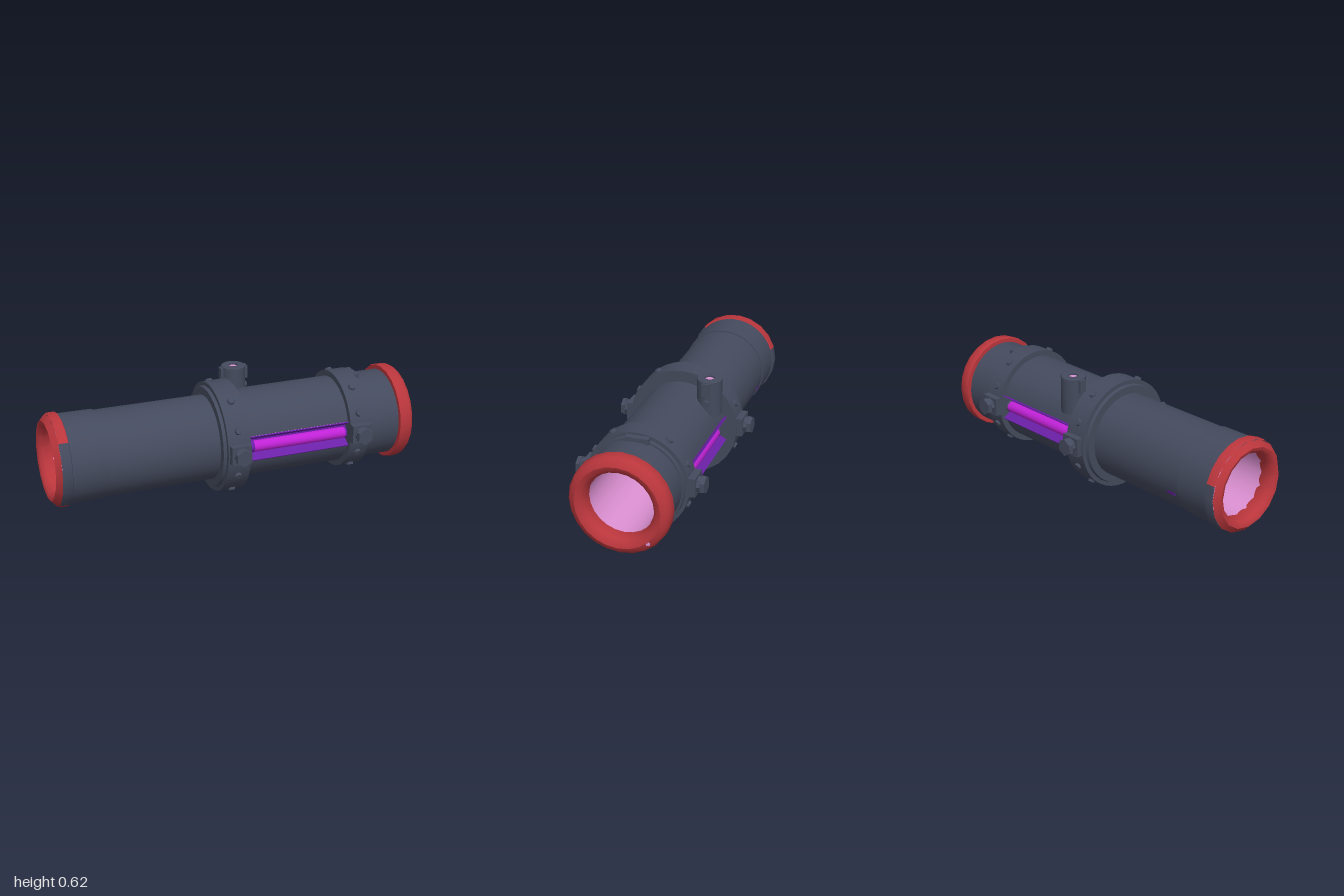
import * as THREE from 'three';
import { toCreasedNormals } from 'three/addons/utils/BufferGeometryUtils.js';

export function createModel() {
  const mat = (name, color) => {
    const m = new THREE.MeshStandardMaterial({ color });
    m.name = name;
    return m;
  };
  const dark = mat('slate metal', 0x444a5d);
  const red = mat('red rubber', 0xb9363c);
  const pink = mat('pink lining', 0xdc90d2);
  const purple = mat('purple channel', 0x6a20a6);
  const magenta = mat('magenta glow', 0xc022d6);

  const model = new THREE.Group();
  model.name = 'tube';
  const axis = new THREE.Group(); // everything is measured from the tube's axis
  axis.name = 'tubeAssembly';
  axis.position.y = 0.297;
  model.add(axis);
  const RAD = Math.PI / 180;

  const add = (name, geo, material, parent = axis) => {
    const m = new THREE.Mesh(geo, material);
    m.name = name;
    parent.add(m);
    return m;
  };
  // Lathe around x from [x, radius] pairs; angle 0 is the front, 90 the underside
  const turn = (name, pts, material, segs = 40, from = 0, sweep = 360) => {
    const g = new THREE.LatheGeometry(pts.map(([x, r]) => new THREE.Vector2(r, x)),
      segs, from * RAD, sweep * RAD);
    g.rotateZ(-Math.PI / 2);
    return add(name, toCreasedNormals(g, 0.6), material);
  };
  // Pivot whose local +z points radially outward at an angle above the front
  const radial = (name, x, deg) => {
    const p = new THREE.Group();
    p.name = name;
    p.position.x = x;
    p.rotation.x = -deg * RAD;
    axis.add(p);
    return p;
  };

  // Body sections
  turn('rearBarrel', [[-0.75, 0.228], [-0.1, 0.228]], dark);
  turn('rearCollar', [[-0.92, 0.2], [-0.92, 0.236], [-0.73, 0.234], [-0.73, 0.22]], dark);
  turn('upperShell', [[0, 0.235], [0.63, 0.235]], dark, 24, 196, 148);
  turn('lowerShell', [[0, 0.235], [0.63, 0.235]], dark, 24, 16, 148);
  turn('frontBarrel', [[0.7, 0.235], [0.93, 0.235]], dark);
  turn('boreLining', [[0.965, 0.177], [-0.965, 0.177]], pink, 24);

  // Clamp flanges
  turn('largeFlange', [[-0.125, 0.2], [-0.125, 0.27], [-0.108, 0.275], [-0.108, 0.297],
    [0.018, 0.297], [0.018, 0.2]], dark, 40);
  turn('smallFlange', [[0.605, 0.2], [0.605, 0.267], [0.715, 0.267], [0.715, 0.248],
    [0.735, 0.246], [0.735, 0.2]], dark, 40);

  // Soft end rings
  turn('frontRing', [[0.91, 0.23], [0.91, 0.258], [0.92, 0.263], [0.968, 0.26], [0.988, 0.246],
    [1, 0.22], [0.993, 0.196], [0.975, 0.18], [0.945, 0.171], [0.9, 0.179]], red, 24);
  turn('rearRing', [[-0.91, 0.179], [-0.945, 0.171], [-0.975, 0.177], [-0.995, 0.194],
    [-1, 0.212], [-0.972, 0.242]], red, 16);
  // Worn outer lip of the rear ring, red on top and in one patch below
  const lip = [[-0.972, 0.242], [-0.962, 0.246], [-0.922, 0.246], [-0.912, 0.225]];
  for (const [material, from, sweep] of [[red, 198, 120], [dark, 318, 94],
    [red, 52, 24], [dark, 76, 122]]) {
    turn('rearRingLip', lip, material, Math.ceil(sweep / 18), from, sweep);
  }

  // Glowing slots on the front and back
  for (const base of [0, 180]) {
    const slot = radial('slot', 0.315, base);
    const floor = add('slotFloor', new THREE.BoxGeometry(0.61, 0.075, 0.006), purple, slot);
    floor.position.z = 0.184;
    for (const s of [-1, 1]) {
      const wall = add('slotWall', new THREE.BoxGeometry(0.59, 0.006, 0.07), purple, slot);
      wall.position.set(0, s * 0.05, 0.212);
      wall.rotation.x = -s * 0.55;
    }
    const z = base ? -0.192 : 0.192;
    const rod = new THREE.CylinderGeometry(0.031, 0.031, 0.53, 16).rotateZ(Math.PI / 2);
    add('glowRod', rod, magenta).position.set(0.335, -0.008, z);
    for (const x of [0.06, 0.605]) {
      const cap = add('rodEnd', new THREE.SphereGeometry(0.0325, 16, 10), base ? dark : purple);
      cap.position.set(x, -0.008, z);
    }
  }

  // Narrow strips along the underside, and a short one on the rear barrel
  const strip = (x0, x1, r, from, sweep) => turn('purpleStrip',
    [[x0, r - 0.008], [x0, r], [x1, r], [x1, r - 0.008]], purple, 3, from, sweep);
  strip(0.02, 0.605, 0.242, 71, 12);
  strip(0.735, 0.84, 0.242, 71, 12);
  strip(-0.7, -0.65, 0.231, 160, 5);

  // Small worn spot on the front ring
  const spot = new THREE.CylinderGeometry(0.012, 0.012, 0.008, 7).rotateZ(-Math.PI / 2);
  add('wornSpot', spot, pink).position.set(0.995, -0.166, -0.154);

  // Rivets and side bosses of each flange
  for (const [x, r] of [[-0.045, 0.296], [0.66, 0.266]]) {
    for (const base of [0, 180]) {
      for (const a of [-54, -25, 25, 57]) {
        const p = radial('rivet', x, base ? base - a : a);
        const g = new THREE.CylinderGeometry(0.017, 0.024, 0.026, 8).rotateX(Math.PI / 2);
        add('rivetHead', toCreasedNormals(g, 0.5), dark, p).position.z = r;
      }
      const p = radial('sideBoss', x, base);
      const y = base ? -0.01 : 0.01;
      const block = add('bossBlock', new THREE.BoxGeometry(0.11, 0.1, 0.05), dark, p);
      block.position.set(0, y, r + 0.005);
      const neck = new THREE.CylinderGeometry(0.04, 0.045, 0.05, 8).rotateX(Math.PI / 2);
      add('bossNeck', toCreasedNormals(neck, 0.5), dark, p).position.set(0, y, r + 0.035);
      const nut = new THREE.CylinderGeometry(0.046, 0.05, 0.022, 6).rotateX(Math.PI / 2);
      add('bossNut', toCreasedNormals(nut, 0.5), dark, p).position.set(0, y, r + 0.061);
    }
  }

  // Small latch beside the front flange
  add('latch', new THREE.BoxGeometry(0.045, 0.03, 0.12), dark).position.set(0.728, 0.24, -0.01);

  // Upright port behind the large flange
  const port = new THREE.Group();
  port.name = 'port';
  port.position.set(0.098, 0, -0.172);
  axis.add(port);
  const tower = new THREE.LatheGeometry([[0.066, 0.12], [0.066, 0.316], [0.062, 0.32],
    [0.024, 0.32], [0.024, 0.29]].map(([r, y]) => new THREE.Vector2(r, y)), 16);
  add('portTower', toCreasedNormals(tower, 0.6), dark, port);
  const core = add('portCore', new THREE.CylinderGeometry(0.025, 0.025, 0.02, 16), pink, port);
  core.position.y = 0.302;
  for (const s of [-1, 1]) {
    const rib = add('portRib', new THREE.BoxGeometry(0.022, 0.07, 0.04), dark, port);
    rib.position.set(s * 0.066, 0.277, 0);
    const stud = new THREE.CylinderGeometry(0.017, 0.02, 0.02, 8).rotateZ(-s * Math.PI / 2);
    add('portStud', stud, dark, port).position.set(s * 0.066, 0.2, 0);
  }
  return model;
}
